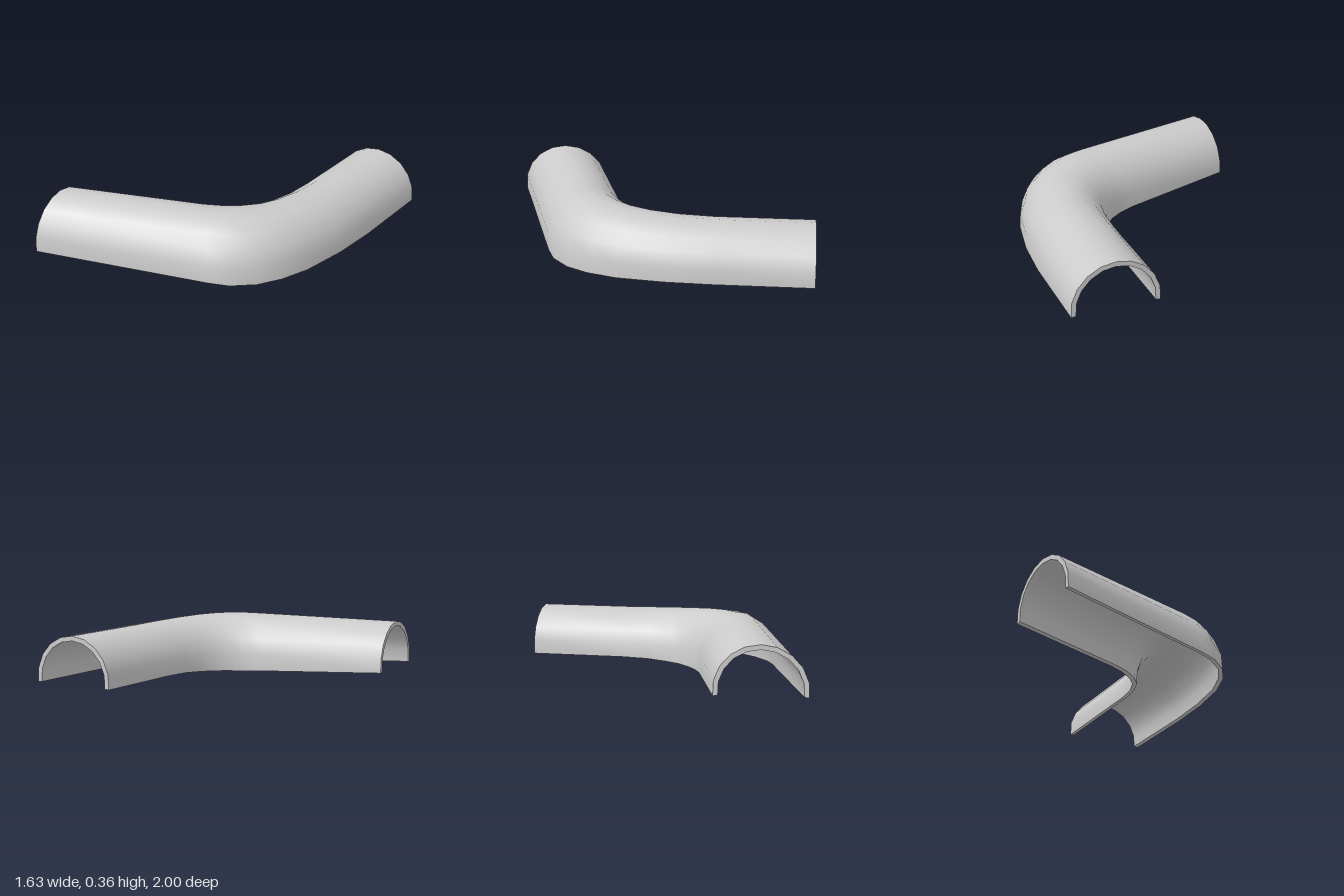
import * as THREE from 'three';

// Stations along the bend: inner edge x,z / outer edge x,z / bottom y, top y
const STATIONS = [
  [0.27, -1.0, 0.813, -1.0, 0.025, 0.33],
  [0.27, -0.38, 0.813, -0.4, 0.025, 0.33],
  [0.265, -0.2, 0.79, -0.1, 0.02, 0.336],
  [0.24, -0.07, 0.735, 0.19, 0.012, 0.344],
  [0.2, 0.03, 0.665, 0.37, 0.007, 0.351],
  [0.135, 0.11, 0.575, 0.505, 0.002, 0.357],
  [0.05, 0.175, 0.45, 0.61, 0.0, 0.36],
  [-0.05, 0.22, 0.33, 0.66, 0.002, 0.357],
  [-0.815, 0.45, -0.76, 1.0, 0.022, 0.33],
];
const SEGMENTS = 10;
const WALL = 0.03;
const DIP = THREE.MathUtils.degToRad(7); // the arch runs a little past a half circle
const LAST = STATIONS.length - 1;

// Point on the arch: station i, step j from the outer foot to the inner foot
function archPoint(i, j, inside) {
  const [ix, iz, ox, oz, bottom, top] = STATIONS[i];
  const angle = -DIP + (j / SEGMENTS) * (Math.PI + 2 * DIP);
  const width = Math.hypot(ox - ix, oz - iz);
  const wall = inside ? WALL : 0;
  const rise = (top - bottom) / (1 + Math.sin(DIP));
  const across = Math.cos(angle) * (width / 2 / 0.977 - wall) / width;
  return [
    (ix + ox) / 2 + across * (ox - ix),
    top - rise + Math.sin(angle) * (rise - wall),
    (iz + oz) / 2 + across * (oz - iz),
  ];
}

// Smooth grid surface through point(i, j)
function surface(name, rows, cols, point) {
  const positions = [];
  const index = [];
  for (let i = 0; i <= rows; i++) {
    for (let j = 0; j <= cols; j++) {
      positions.push(...point(i, j));
      if (i === rows || j === cols) continue;
      const a = i * (cols + 1) + j;
      const d = a + cols + 1;
      index.push(a, a + 1, d + 1, a, d + 1, d);
    }
  }
  const geometry = new THREE.BufferGeometry();
  geometry.setAttribute('position', new THREE.Float32BufferAttribute(positions, 3));
  geometry.setIndex(index);
  geometry.computeVertexNormals();
  const mesh = new THREE.Mesh(geometry, new THREE.MeshStandardMaterial({ color: 0xcccccc }));
  mesh.name = name;
  return mesh;
}

export function createModel() {
  const group = new THREE.Group();
  group.name = 'bentHalfPipe';
  group.add(
    // Curved shell, outside and inside
    surface('outerShell', LAST, SEGMENTS, (i, j) => archPoint(i, j, false)),
    surface('innerShell', LAST, SEGMENTS, (i, j) => archPoint(i, SEGMENTS - j, true)),
    // Narrow rims along the two feet
    surface('outerFootRim', LAST, 1, (i, j) => archPoint(i, 0, j === 0)),
    surface('innerFootRim', LAST, 1, (i, j) => archPoint(i, SEGMENTS, j === 1)),
    // Arched rims closing the wall at both ends
    surface('backEndRim', 1, SEGMENTS, (i, j) => archPoint(0, j, i === 0)),
    surface('sideEndRim', 1, SEGMENTS, (i, j) => archPoint(LAST, j, i === 1)),
  );
  return group;
}
